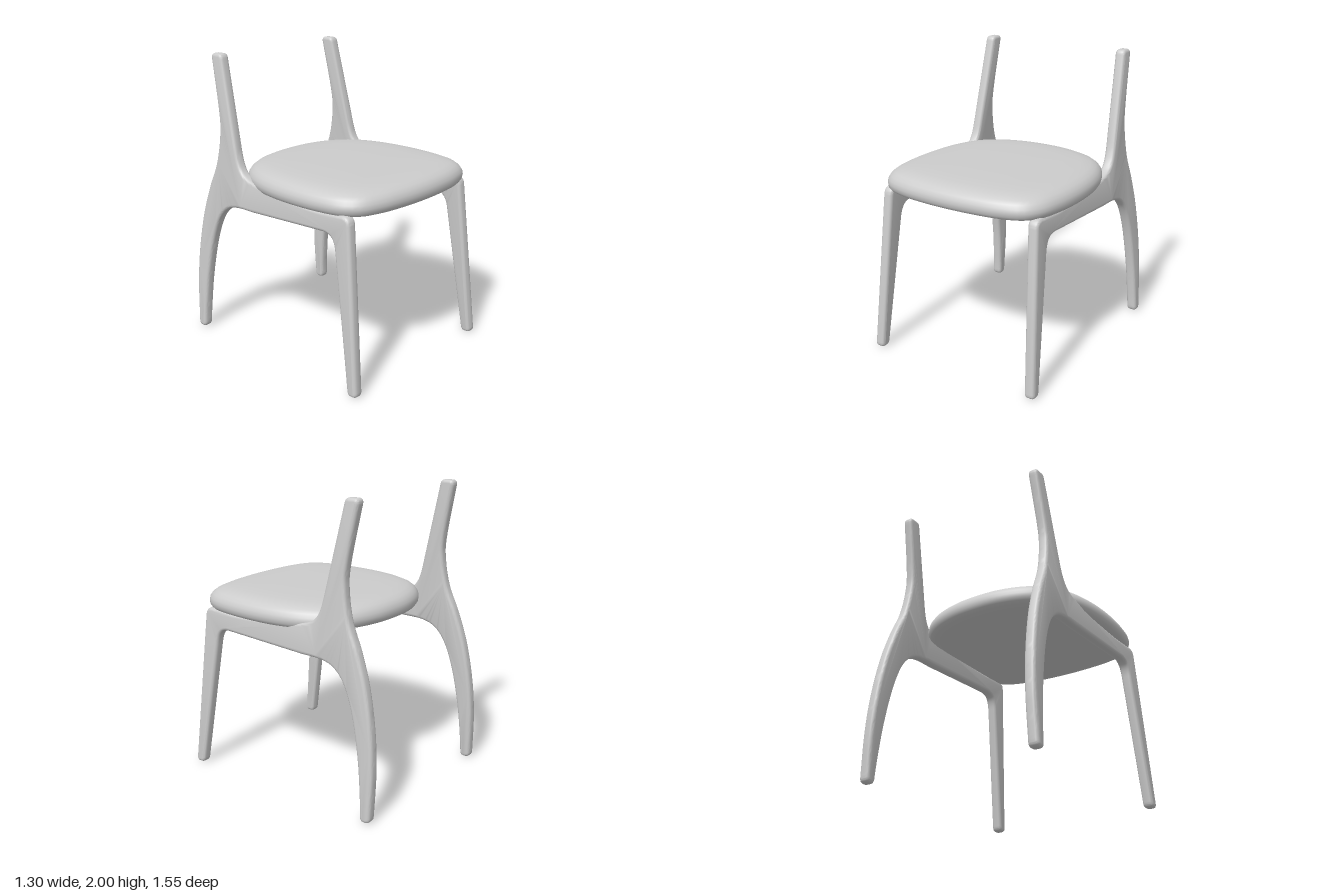
import * as THREE from 'three';
import { toCreasedNormals, mergeVertices } from 'three/addons/utils/BufferGeometryUtils.js';

const grey = new THREE.MeshStandardMaterial({ color: 0xcccccc });
grey.name = 'light grey';

// Side profile, drawn as (-z, y): front leg, rail, back post and rear leg in one piece
function sideProfile() {
  const s = new THREE.Shape();
  const spline = (pts) => s.splineThru(pts.map(([a, b]) => new THREE.Vector2(a, b)));
  s.moveTo(-0.735, 0);
  s.lineTo(-0.72, 0);
  s.quadraticCurveTo(-0.69, 0, -0.685, 0.035);
  // inside of front leg and underside of rail
  s.lineTo(-0.548, 0.91);
  s.bezierCurveTo(-0.535, 0.99, -0.51, 1.02, -0.44, 1.02);
  s.lineTo(0.2, 0.99);
  // inside of rear leg
  spline([[0.36, 0.985], [0.465, 0.945], [0.545, 0.845], [0.61, 0.66], [0.66, 0.4], [0.685, 0.16], [0.692, 0.04]]);
  s.quadraticCurveTo(0.694, 0.005, 0.725, 0.005);
  s.lineTo(0.735, 0.005);
  s.quadraticCurveTo(0.767, 0.008, 0.768, 0.04);
  // back edge, up to the top of the post
  spline([[0.775, 0.335], [0.755, 0.6], [0.705, 0.865], [0.635, 1.08], [0.56, 1.26], [0.525, 1.45], [0.532, 1.61], [0.602, 1.965]]);
  s.quadraticCurveTo(0.606, 2, 0.572, 2);
  s.lineTo(0.532, 2);
  s.quadraticCurveTo(0.505, 2, 0.498, 1.967);
  // front edge of the post, sweeping into the rail top
  s.lineTo(0.365, 1.4);
  s.bezierCurveTo(0.335, 1.27, 0.31, 1.215, 0.2, 1.192);
  spline([[-0.04, 1.16], [-0.355, 1.145], [-0.6, 1.157]]);
  s.quadraticCurveTo(-0.652, 1.155, -0.658, 1.1);
  s.lineTo(-0.762, 0.035);
  s.quadraticCurveTo(-0.765, 0, -0.735, 0);
  return s;
}

// Extruded side frame, leaning inwards towards the top
function sideFrame(side) {
  const depth = 0.028;
  const geo = new THREE.ExtrudeGeometry(sideProfile(), {
    depth, curveSegments: 10, bevelEnabled: true, bevelSize: 0.022,
    bevelThickness: 0.022, bevelOffset: -0.022, bevelSegments: 4,
  });
  geo.translate(0, 0, -depth / 2);
  geo.rotateY(Math.PI / 2);
  const p = geo.attributes.position;
  for (let i = 0; i < p.count; i++) p.setX(i, p.getX(i) + side * (0.615 - 0.044 * p.getY(i)));
  return toCreasedNormals(geo, 0.6);
}

// Padded seat: the plan outline scaled through a stack of rings
function seatGeometry() {
  const half = [[0, -0.51], [0.19, -0.495], [0.375, -0.433], [0.5, -0.34], [0.58, -0.205], [0.627, -0.04],
    [0.648, 0.185], [0.635, 0.433], [0.598, 0.59], [0.525, 0.685], [0.375, 0.74], [0.19, 0.765], [0, 0.773]];
  const mirrored = half.slice(1, -1).reverse().map(([x, z]) => [-x, z]);
  const outline = new THREE.CatmullRomCurve3(
    [...half, ...mirrored].map(([x, z]) => new THREE.Vector3(x, 0, z)), true, 'centripetal');
  const n = 96, cz = 0.14;
  const plan = outline.getSpacedPoints(n).slice(0, n);
  // [scale, height] from the underside centre over the rim to the top centre
  const rings = [[0, 1.13], [0.5, 1.13], [0.86, 1.132], [0.93, 1.137], [0.975, 1.15], [0.995, 1.17], [1, 1.195],
    [0.993, 1.22], [0.97, 1.245], [0.935, 1.264], [0.88, 1.28], [0.78, 1.291], [0.6, 1.297], [0.3, 1.3], [0, 1.3]];
  const pos = [], idx = [];
  for (const [k, y] of rings) for (const v of plan) pos.push(v.x * k, y, cz + (v.z - cz) * k);
  for (let r = 0; r < rings.length - 1; r++) {
    for (let i = 0; i < n; i++) {
      const a = r * n + i, b = r * n + (i + 1) % n, c = a + n, d = b + n;
      if (r > 0) idx.push(a, c, b);
      if (r < rings.length - 2) idx.push(b, c, d);
    }
  }
  let geo = new THREE.BufferGeometry();
  geo.setAttribute('position', new THREE.Float32BufferAttribute(pos, 3));
  geo.setIndex(idx);
  geo = mergeVertices(geo, 1e-5);
  geo.computeVertexNormals();
  return geo;
}

export function createModel() {
  const chair = new THREE.Group();
  chair.name = 'chair';
  const add = (name, geo) => {
    const mesh = new THREE.Mesh(geo, grey);
    mesh.name = name;
    chair.add(mesh);
  };
  add('seat', seatGeometry());
  add('leftFrame', sideFrame(1));
  add('rightFrame', sideFrame(-1));
  return chair;
}
